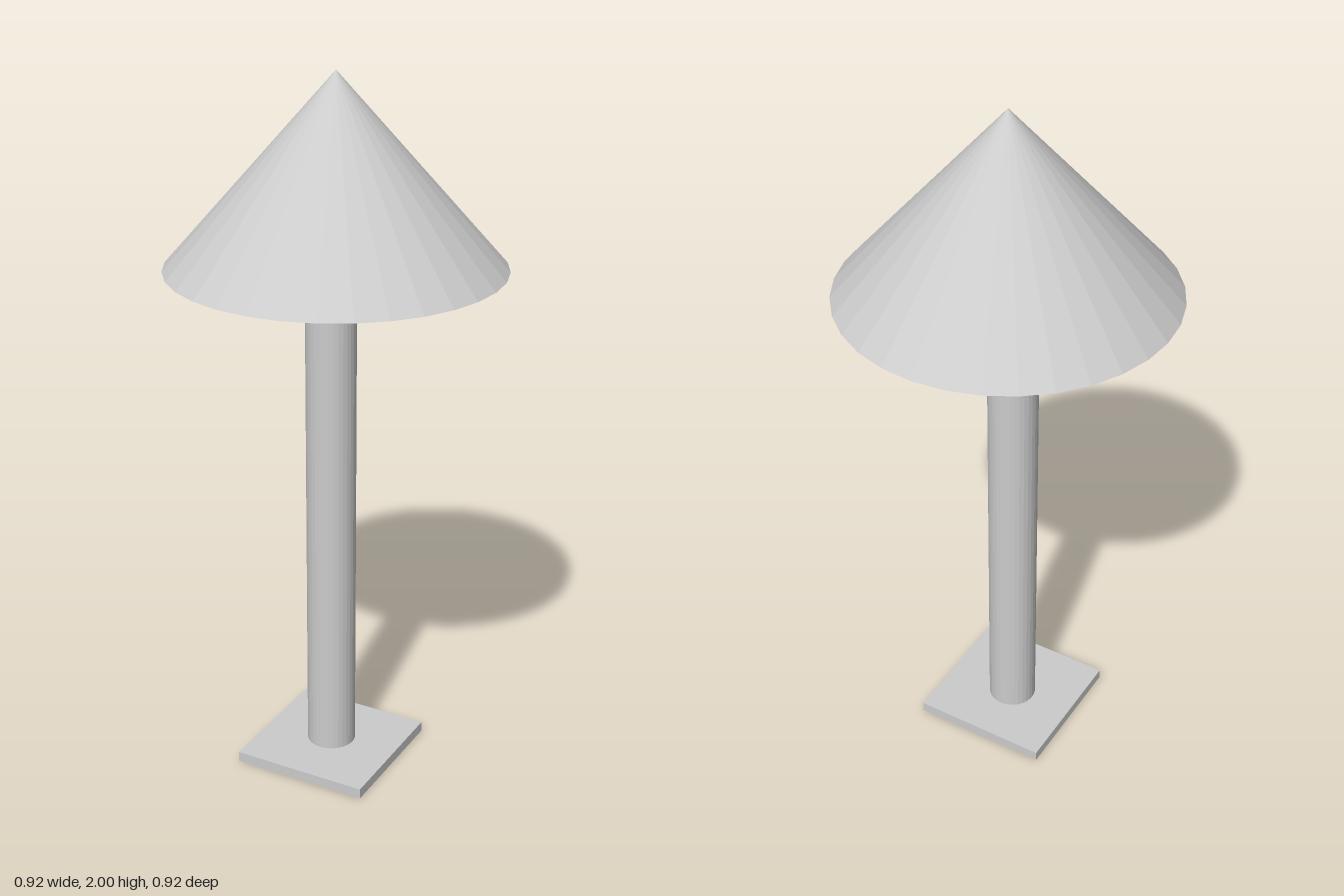
import * as THREE from 'three';

export function createModel() {
  const model = new THREE.Group();
  model.name = 'shadedPost';
  const grey = new THREE.MeshStandardMaterial({ color: 0xcccccc, flatShading: true });
  grey.name = 'light grey';

  function add(name, geometry, x, y, z) {
    const mesh = new THREE.Mesh(geometry, grey);
    mesh.name = name;
    mesh.position.set(x, y, z);
    model.add(mesh);
  }

  const baseTop = 0.03, shadeBottom = 1.48, top = 2;
  const postHeight = shadeBottom - baseTop;
  const shadeHeight = top - shadeBottom;

  // Square foot plate, slightly off the shade's axis
  add('base', new THREE.BoxGeometry(0.4, baseTop, 0.4), -0.008, baseTop / 2, 0.013);

  // Round post
  add('post', new THREE.CylinderGeometry(0.07, 0.07, postHeight, 32), -0.012, baseTop + postHeight / 2, 0.006);

  // Closed conical shade
  add('shade', new THREE.ConeGeometry(0.46, shadeHeight, 32), 0, shadeBottom + shadeHeight / 2, 0);

  return model;
}
